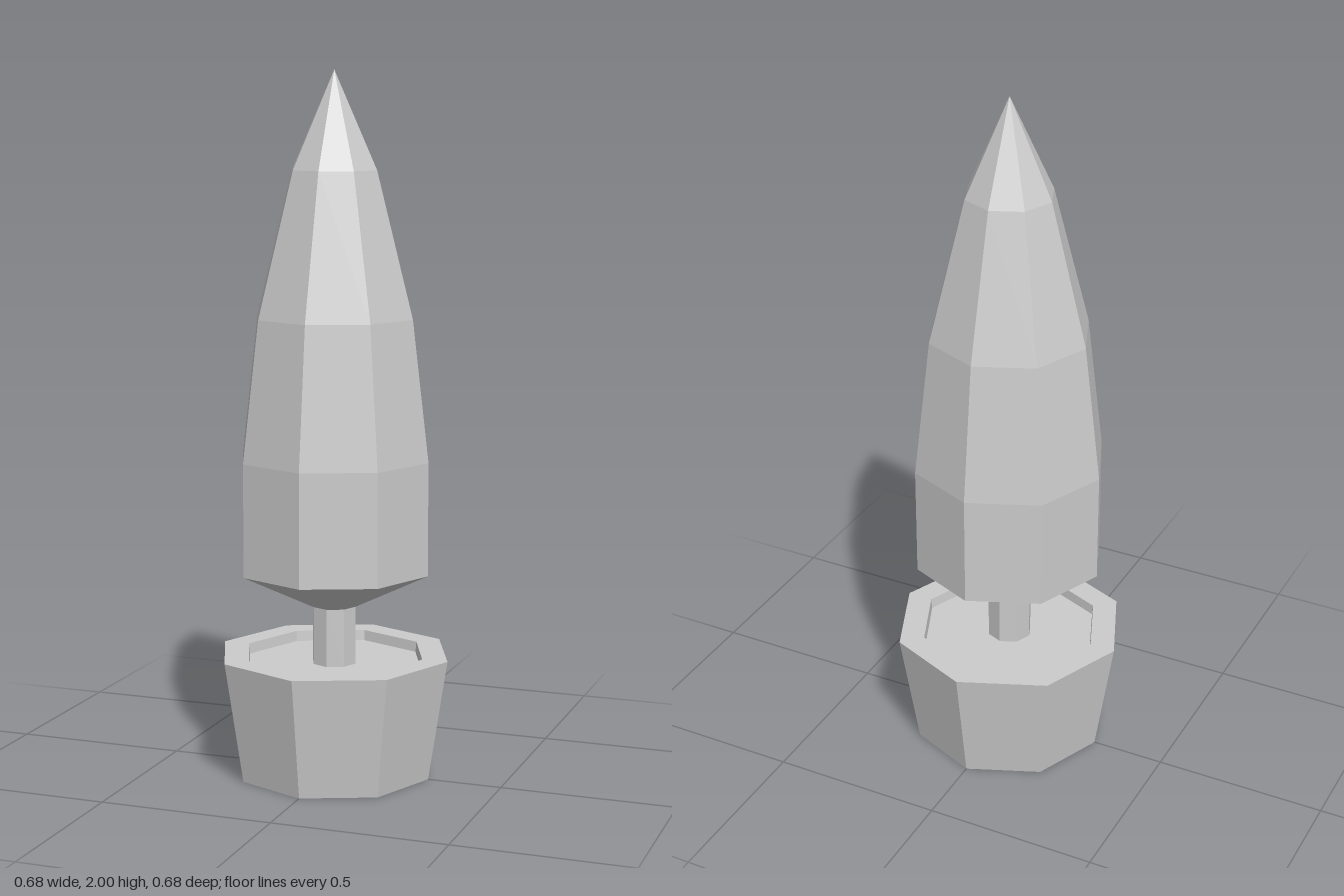
import * as THREE from 'three';

const SIDES = 8;
const material = new THREE.MeshStandardMaterial({ color: 0xcccccc, flatShading: true });

// Faceted eight-sided solid from a profile of [radius, height], listed bottom to top
function facetedLathe(name, profile) {
  const points = profile.map(([r, y]) => new THREE.Vector2(r, y));
  const geometry = new THREE.LatheGeometry(points, SIDES).toNonIndexed();
  geometry.computeVertexNormals();
  const mesh = new THREE.Mesh(geometry, material);
  mesh.name = name;
  return mesh;
}

export function createModel() {
  const group = new THREE.Group();
  group.name = 'pottedTree';

  // Tapered pot with a flat rim and a shallow recess down to the soil
  group.add(facetedLathe('pot', [
    [0, 0], [0.285, 0], [0.34, 0.35], [0.265, 0.35], [0.262, 0.32],
  ]));
  group.add(facetedLathe('soil', [[0.262, 0.32], [0, 0.32]]));

  // Short trunk between soil and foliage
  group.add(facetedLathe('trunk', [[0.065, 0.32], [0.065, 0.49]]));

  // Tall pointed crown with a conical underside
  group.add(facetedLathe('foliage', [
    [0, 0.487], [0.065, 0.487], [0.28, 0.592], [0.28, 0.915],
    [0.232, 1.315], [0.126, 1.725], [0, 2],
  ]));

  return group;
}
